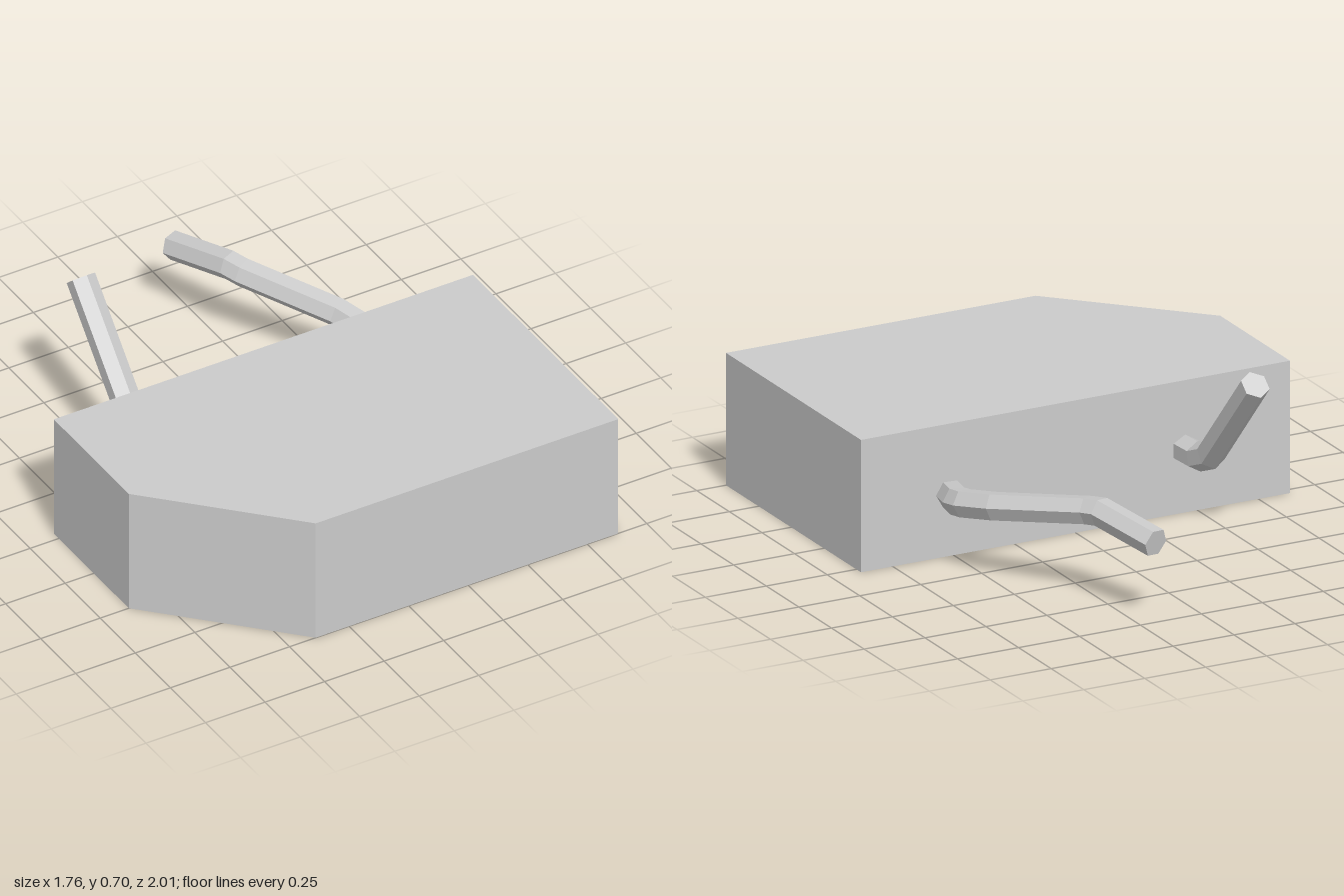
import * as THREE from 'three';

const material = new THREE.MeshStandardMaterial({ color: 0xcccccc, flatShading: true });

// Hexagonal rod swept along a path with mitred bends; spin turns the hexagon about the path.
function bentRod(name, path, radius, spin) {
  const pts = path.map(p => new THREE.Vector3(...p));
  const dirs = pts.slice(1).map((p, i) => p.clone().sub(pts[i]).normalize());
  const side = new THREE.Vector3(0, 1, 0).cross(dirs[0]).normalize();
  const up = dirs[0].clone().cross(side);
  const sides = 6;

  const rings = [[]];
  for (let k = 0; k < sides; k++) {
    const a = spin + (k / sides) * Math.PI * 2;
    rings[0].push(pts[0].clone()
      .addScaledVector(side, Math.cos(a) * radius)
      .addScaledVector(up, Math.sin(a) * radius));
  }
  // Slide each ring along its segment to the next mitre plane
  dirs.forEach((d, i) => {
    const n = d.clone().add(dirs[i + 1] ?? d).normalize();
    rings.push(rings[i].map(v => {
      const t = pts[i + 1].clone().sub(v).dot(n) / d.dot(n);
      return v.clone().addScaledVector(d, t);
    }));
  });

  const pos = [];
  const tri = (...vs) => vs.forEach(v => pos.push(v.x, v.y, v.z));
  const last = rings.length - 1;
  for (let k = 0; k < sides; k++) {
    const m = (k + 1) % sides;
    for (let i = 0; i < last; i++) {
      const [a, b, c, d] = [rings[i][k], rings[i][m], rings[i + 1][m], rings[i + 1][k]];
      tri(a, b, c);
      tri(a, c, d);
    }
    tri(pts[0], rings[0][m], rings[0][k]);
    tri(pts[last], rings[last][k], rings[last][m]);
  }
  const geo = new THREE.BufferGeometry();
  geo.setAttribute('position', new THREE.Float32BufferAttribute(pos, 3));
  geo.computeVertexNormals();
  const mesh = new THREE.Mesh(geo, material);
  mesh.name = name;
  return mesh;
}

export function createModel() {
  const group = new THREE.Group();
  group.name = 'blockWithPins';

  // Block with one cut corner: plan drawn as (x, -z), extruded upward
  const plan = new THREE.Shape([
    [-0.88, -0.5], [-0.39, -1], [0.88, -1], [0.88, 0.035], [-0.88, 0.035],
  ].map(([x, y]) => new THREE.Vector2(x, y)));
  const blockGeo = new THREE.ExtrudeGeometry(plan, { depth: 0.51, bevelEnabled: false });
  blockGeo.rotateX(-Math.PI / 2);
  const block = new THREE.Mesh(blockGeo, material);
  block.name = 'block';
  group.add(block);

  // Short pin bent upward, ridge on top
  group.add(bentRod('raisedPin', [
    [-0.45, 0.245, -0.03], [-0.45, 0.25, -0.14], [-0.453, 0.285, -0.225], [-0.457, 0.66, -0.56],
  ], 0.055, Math.PI / 6));

  // Long pin bent sideways, flat on top
  group.add(bentRod('longPin', [
    [0.513, 0.238, -0.03], [0.55, 0.257, -0.155], [0.55, 0.267, -0.215],
    [0.498, 0.289, -0.345], [0.288, 0.343, -0.67], [0.265, 0.35, -0.725], [0.183, 0.303, -0.992],
  ], 0.055, 0));

  return group;
}
